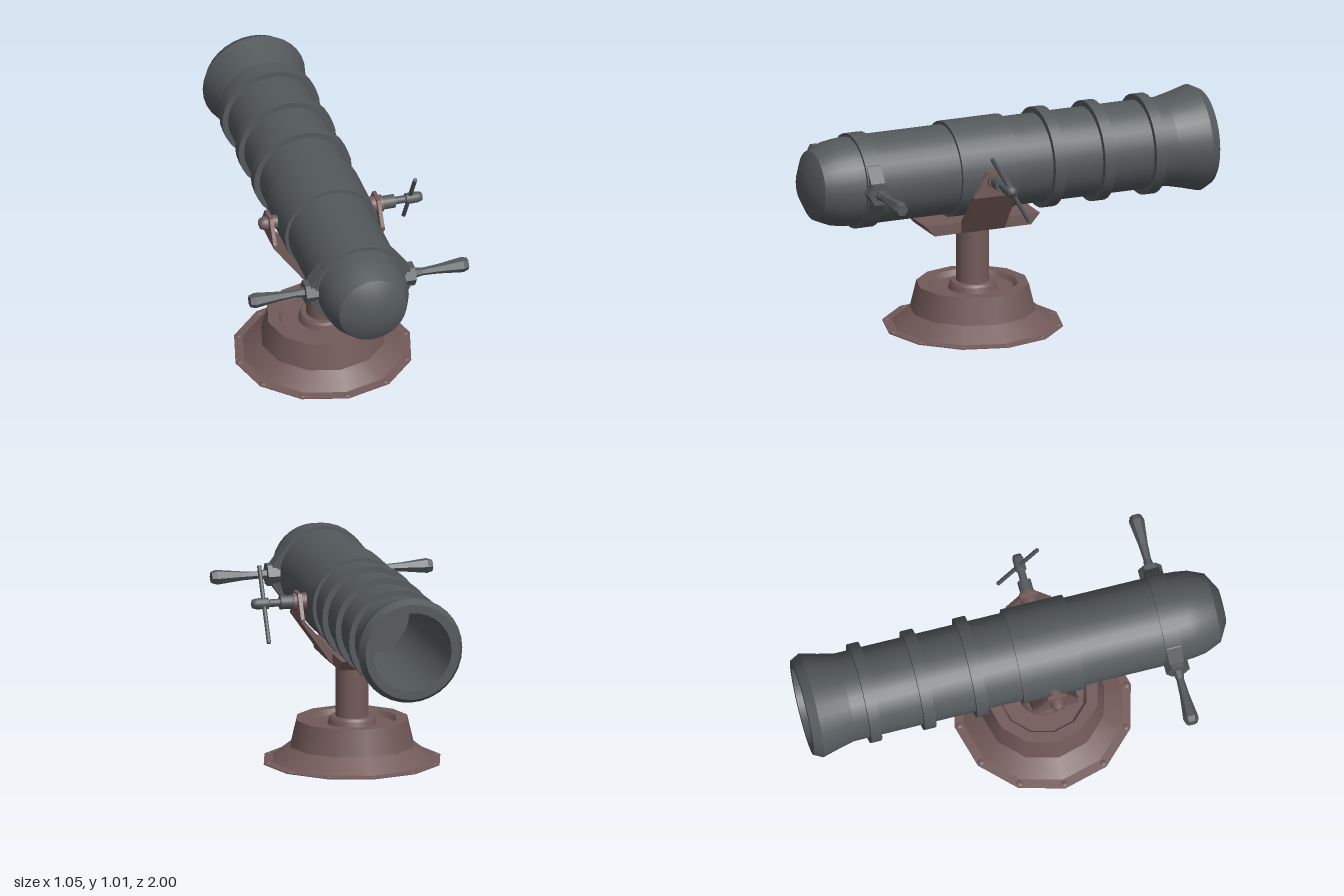
import * as THREE from 'three';
import { mergeGeometries } from 'three/addons/utils/BufferGeometryUtils.js';

const AXIS = 0.763;   // barrel height
const PIVOT = 0.147;  // z of the pedestal and trunnions

const gunmetal = new THREE.MeshStandardMaterial({ color: 0x54595c });
gunmetal.name = 'gunmetal';
const rust = new THREE.MeshStandardMaterial({ color: 0x725a59 });
rust.name = 'rustBrown';

// Turned shape: smooth inside each run of points, hard edges between runs
function turned(sides, ...runs) {
  return mergeGeometries(runs.map(run =>
    new THREE.LatheGeometry(run.map(([r, h]) => new THREE.Vector2(r, h)), sides)));
}

// Turned shape where every profile corner is a hard edge
function turnedHard(sides, points) {
  return turned(sides, ...points.slice(1).map((p, i) => [points[i], p]));
}

// Flat outline pulled to a depth, centred on its own plane
function slab(points, depth) {
  const shape = new THREE.Shape(points.map(([x, y]) => new THREE.Vector2(x, y)));
  return new THREE.ExtrudeGeometry(shape, { depth, bevelEnabled: false }).translate(0, 0, -depth / 2);
}

// Outline given as (z, y), pulled along x
function sideSlab(points, depth) {
  return slab(points, depth).rotateY(-Math.PI / 2);
}

function add(parent, name, geometry, material, x = 0, y = 0, z = 0) {
  const mesh = new THREE.Mesh(geometry, material);
  mesh.name = name;
  mesh.position.set(x, y, z);
  parent.add(mesh);
  return mesh;
}

function subgroup(parent, name, z, turn = 0) {
  const g = new THREE.Group();
  g.name = name;
  g.position.z = z;
  g.rotation.y = turn;
  parent.add(g);
  return g;
}

function buildBarrel(root) {
  const barrel = subgroup(root, 'barrel', 0);
  // Bore, flared muzzle, tube and domed breech
  const tube = turned(32,
    [[0, -0.2], [0.185, -0.2]],
    [[0.185, -0.2], [0.185, -1]],
    [[0.185, -1], [0.225, -1]],
    [[0.225, -1], [0.247, -0.957]],
    [[0.247, -0.957], [0.225, -0.875], [0.208, -0.8]],
    [[0.208, -0.8], [0.208, 0.76]],
    [[0.208, 0.76], [0.204, 0.82], [0.195, 0.88], [0.163, 0.955]],
    [[0.163, 0.955], [0.083, 1], [0, 1]]).rotateX(Math.PI / 2);
  add(barrel, 'barrelTube', tube, gunmetal, 0, AXIS);

  // Raised bands: start, end, radius
  const bands = [
    ['muzzleBand', -0.73, -0.678, 0.235], ['middleBand', -0.475, -0.42, 0.235],
    ['rearBand', -0.225, -0.17, 0.235], ['trunnionSleeve', 0, 0.29, 0.224],
    ['handleBand', 0.685, 0.765, 0.222]];
  for (const [name, a, b, r] of bands) {
    const ring = turnedHard(32, [[0.2, a], [r, a], [r, b], [0.2, b]]).rotateX(Math.PI / 2);
    add(barrel, name, ring, gunmetal, 0, AXIS);
  }
}

function buildHandles(root) {
  for (const turn of [0, Math.PI]) {
    const handle = subgroup(root, 'handle', 0.724, turn);
    // Lug that joins the band to the hexagonal socket
    add(handle, 'handleLug', slab([[0.15, -0.15], [0.19, -0.118], [0.24, -0.048],
      [0.24, 0.048], [0.19, 0.118], [0.15, 0.15]], 0.07), gunmetal, 0, AXIS);
    const socket = new THREE.CylinderGeometry(0.056, 0.056, 0.064, 6).toNonIndexed();
    socket.computeVertexNormals();
    socket.rotateZ(-Math.PI / 2);
    add(handle, 'handleSocket', socket, gunmetal, 0.232, AXIS);
    // Six-sided grip, waisted and swelling to the end
    const grip = turned(6, [[0.026, 0.26], [0.018, 0.305], [0.022, 0.38], [0.036, 0.5],
      [0.028, 0.525], [0, 0.525]]).toNonIndexed();
    grip.computeVertexNormals();
    grip.rotateZ(-Math.PI / 2);
    add(handle, 'handleGrip', grip, gunmetal, 0, AXIS);
  }
}

function buildYoke(root) {
  const yoke = subgroup(root, 'yoke', PIVOT);
  // Saddle: sloping ends, open underneath
  add(yoke, 'saddle', sideSlab([[-0.242, 0.482], [-0.287, 0.533], [0.287, 0.533],
    [0.242, 0.482], [0.2, 0.482], [0.215, 0.515], [-0.215, 0.515], [-0.2, 0.482]], 0.236), rust);
  for (const s of [-1, 1]) {
    add(yoke, 'saddleSide', sideSlab([[-0.242, 0.482], [0.242, 0.482],
      [0.287, 0.533], [-0.287, 0.533]], 0.024), rust, s * 0.108);
  }
  for (const turn of [0, Math.PI]) {
    const arm = subgroup(yoke, 'yokeArm', 0, turn);
    // Slanted strut with a short upright top
    add(arm, 'yokeStrut', slab([[0.112, 0.482], [0.122, 0.482], [0.268, 0.688], [0.268, 0.7],
      [0.25, 0.7], [0.25, 0.69], [0.112, 0.533]], 0.216), rust);
    // Tapered cheek around the trunnion
    add(arm, 'yokeCheek', sideSlab([[-0.108, 0.69], [0.108, 0.69], [0.04, 0.808],
      [-0.04, 0.808]], 0.018), rust, 0.259);
  }
}

function buildTrunnions(root) {
  const left = subgroup(root, 'elevationPin', PIVOT);
  const collar = turned(16, [[0.04, 0.2], [0.04, 0.285]], [[0.04, 0.285], [0, 0.285]]);
  add(left, 'pinCollar', collar.rotateZ(-Math.PI / 2), rust, 0, AXIS);
  // Stepped pin with a rounded end
  const pin = turned(16,
    [[0.032, 0.2], [0.032, 0.344]], [[0.032, 0.344], [0.018, 0.344]],
    [[0.018, 0.344], [0.018, 0.395]], [[0.018, 0.395], [0.026, 0.4]],
    [[0.026, 0.4], [0.026, 0.455], [0.02, 0.475], [0, 0.482]]);
  add(left, 'pinShaft', pin.rotateZ(-Math.PI / 2), gunmetal, 0, AXIS);
  // Tilted locking lever
  const lever = new THREE.CylinderGeometry(0.01, 0.01, 0.375, 10);
  add(left, 'lockingLever', lever, gunmetal, 0.421, 0.76, -0.01).rotation.x = 0.52;

  // Plain knob on the opposite side
  const right = subgroup(root, 'trunnionKnob', PIVOT);
  const knob = turned(16, [[0.032, 0.2], [0.032, 0.285], [0.024, 0.303], [0, 0.312]]);
  add(right, 'knob', knob.rotateZ(Math.PI / 2), rust, 0, AXIS);
}

function buildPedestal(root) {
  const pedestal = subgroup(root, 'pedestal', PIVOT);
  add(pedestal, 'column', new THREE.CylinderGeometry(0.077, 0.077, 0.515, 24), rust, 0, 0.2585);
  // Twelve-sided hollow foot with a recessed top
  add(pedestal, 'foot', turnedHard(12, [
    [0.077, 0.155], [0.24, 0.155], [0.278, 0.068], [0.385, 0], [0.42, 0], [0.42, 0.004],
    [0.378, 0.008], [0.292, 0.075], [0.262, 0.2], [0.21, 0.2], [0.195, 0.175], [0.07, 0.175]]), rust);
  add(pedestal, 'columnCollar', turnedHard(24,
    [[0.115, 0.17], [0.107, 0.2], [0.1, 0.212], [0.07, 0.212]]), rust);
  // Rivets at the corners of the foot
  for (let i = 0; i < 12; i++) {
    const a = i * Math.PI / 6;
    const rivet = new THREE.SphereGeometry(0.017, 10, 4, 0, Math.PI * 2, 0, Math.PI / 2).scale(1, 0.5, 1);
    add(pedestal, 'rivet', rivet, rust, 0.398 * Math.cos(a), 0.003, 0.398 * Math.sin(a));
  }
}

export function createModel() {
  const root = new THREE.Group();
  root.name = 'swivelCannon';
  buildBarrel(root);
  buildHandles(root);
  buildYoke(root);
  buildTrunnions(root);
  buildPedestal(root);
  return root;
}
